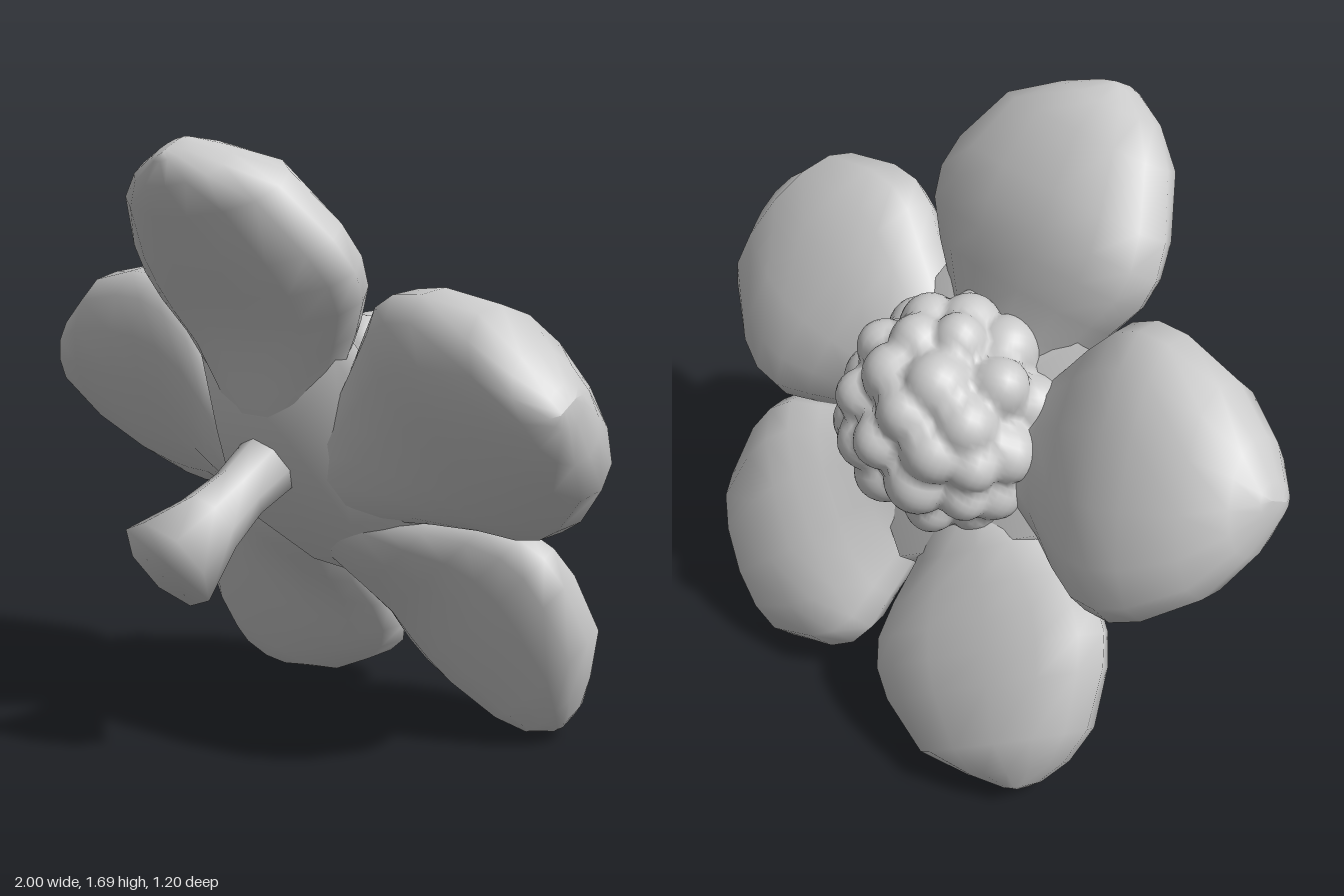
import * as THREE from 'three';

const material = new THREE.MeshStandardMaterial({ color: 0xcccccc });

function part(name, geometry) {
  const mesh = new THREE.Mesh(geometry, material);
  mesh.name = name;
  return mesh;
}

// Lathe around the flower's axis (local z); profile points are [radius, z]
function turned(profile, sides) {
  const points = profile.map(([r, z]) => new THREE.Vector2(r, z));
  return new THREE.LatheGeometry(points, sides).rotateX(Math.PI / 2);
}

// Plump petal pointing along +y, lofted through [y, half width, back z, front z]
function petalGeometry() {
  const sections = [
    [0, 0.1, -0.18, 0.08],
    [0.22, 0.17, -0.18, 0.09],
    [0.36, 0.25, -0.14, 0.12],
    [0.47, 0.33, -0.105, 0.16],
    [0.57, 0.395, -0.1, 0.19],
    [0.66, 0.41, -0.105, 0.205],
    [0.76, 0.385, -0.115, 0.21],
    [0.93, 0.29, -0.12, 0.19],
    [1.02, 0.16, -0.115, 0.11],
    [1.07, 0.05, -0.075, 0.05],
    [1.08, 0, -0.05, 0.02],
  ];
  const sides = 14;
  const soften = (t) => Math.sign(t) * Math.abs(t) ** 0.92;
  const positions = [];
  const indices = [];
  sections.forEach(([y, w, back, front], s) => {
    const mid = (back + front) / 2;
    const half = (front - back) / 2;
    for (let k = 0; k < sides; k++) {
      const a = (k / sides) * Math.PI * 2;
      positions.push(w * soften(Math.cos(a)), y, mid + half * soften(Math.sin(a)));
      if (s === sections.length - 1) continue;
      const i = s * sides + k;
      const j = s * sides + ((k + 1) % sides);
      indices.push(i, i + sides, j, j, i + sides, j + sides);
    }
  });
  const geometry = new THREE.BufferGeometry();
  geometry.setAttribute('position', new THREE.Float32BufferAttribute(positions, 3));
  geometry.setIndex(indices);
  geometry.computeVertexNormals();
  return geometry;
}

// Domed centre whose surface swells into soft, irregular bumps
function centreGeometry() {
  const count = 34;
  const bumps = [];
  for (let i = 0; i < count; i++) {
    const z = 1 - (i + 0.5) * (1.25 / count);
    const ring = Math.sqrt(1 - z * z);
    const a = i * 2.39996 + 0.15 * Math.sin(i * 5.3);
    bumps.push(new THREE.Vector3(ring * Math.cos(a), ring * Math.sin(a), z));
  }
  const geometry = new THREE.SphereGeometry(1, 88, 56);
  const position = geometry.attributes.position;
  const p = new THREE.Vector3();
  for (let v = 0; v < position.count; v++) {
    p.fromBufferAttribute(position, v).normalize();
    let swell = 0;
    bumps.forEach((b, i) => {
      const size = 0.34 + 0.03 * Math.sin(i * 2.7);
      const d = p.distanceTo(b) / size;
      swell = Math.max(swell, 0.07 * (1 - d * d));
    });
    p.multiplyScalar(0.28 + swell);
    position.setXYZ(v, p.x, p.y, p.z);
  }
  geometry.computeVertexNormals();
  return geometry;
}

export function createModel() {
  const model = new THREE.Group();
  model.name = 'flower';

  // Tilted frame: local y runs up the petal plane, local z out of the bloom
  const bloom = new THREE.Group();
  bloom.name = 'bloom';
  const up = new THREE.Vector3(0, 0.85, 0.53).normalize();
  const out = new THREE.Vector3(0, 0.53, -0.85).normalize();
  const side = new THREE.Vector3().crossVectors(up, out);
  bloom.quaternion.setFromRotationMatrix(new THREE.Matrix4().makeBasis(side, up, out));
  bloom.position.set(0, 0.75, -0.09);
  model.add(bloom);

  // Five petals around the axis: [angle, width, length, thickness, tilt outward]
  const fifth = (Math.PI * 2) / 5;
  const petal = petalGeometry();
  [
    [0, 1, 1, 1, 0],
    [fifth, 0.98, 0.97, 1.08, 0.03],
    [-fifth, 0.98, 0.97, 1.08, 0.03],
    [fifth * 2 - 0.04, 0.97, 0.93, 0.97, -0.06],
    [-fifth * 2 + 0.04, 0.97, 0.93, 0.97, -0.06],
  ].forEach(([angle, width, length, thickness, tilt]) => {
    const mesh = part('petal', petal);
    mesh.scale.set(width, length, thickness);
    mesh.rotation.set(tilt, 0, angle, 'ZXY');
    bloom.add(mesh);
  });

  // Five-sided base joining the petals, corners in the gaps between them
  const base = part('petalBase', turned(
    [[0, -0.2], [0.25, -0.195], [0.47, -0.03], [0.45, 0.06], [0, 0.1]], 5));
  base.position.y = 0.05;
  bloom.add(base);

  const centre = part('flowerCentre', centreGeometry());
  centre.position.set(0, 0.07, 0.09);
  bloom.add(centre);

  // Flared stem with a closed end
  const stem = part('stem', turned(
    [[0, -0.625], [0.15, -0.625], [0.1, -0.45], [0.084, -0.32], [0.095, -0.2], [0.12, -0.1]], 8));
  stem.position.y = 0.147;
  bloom.add(stem);

  return model;
}
